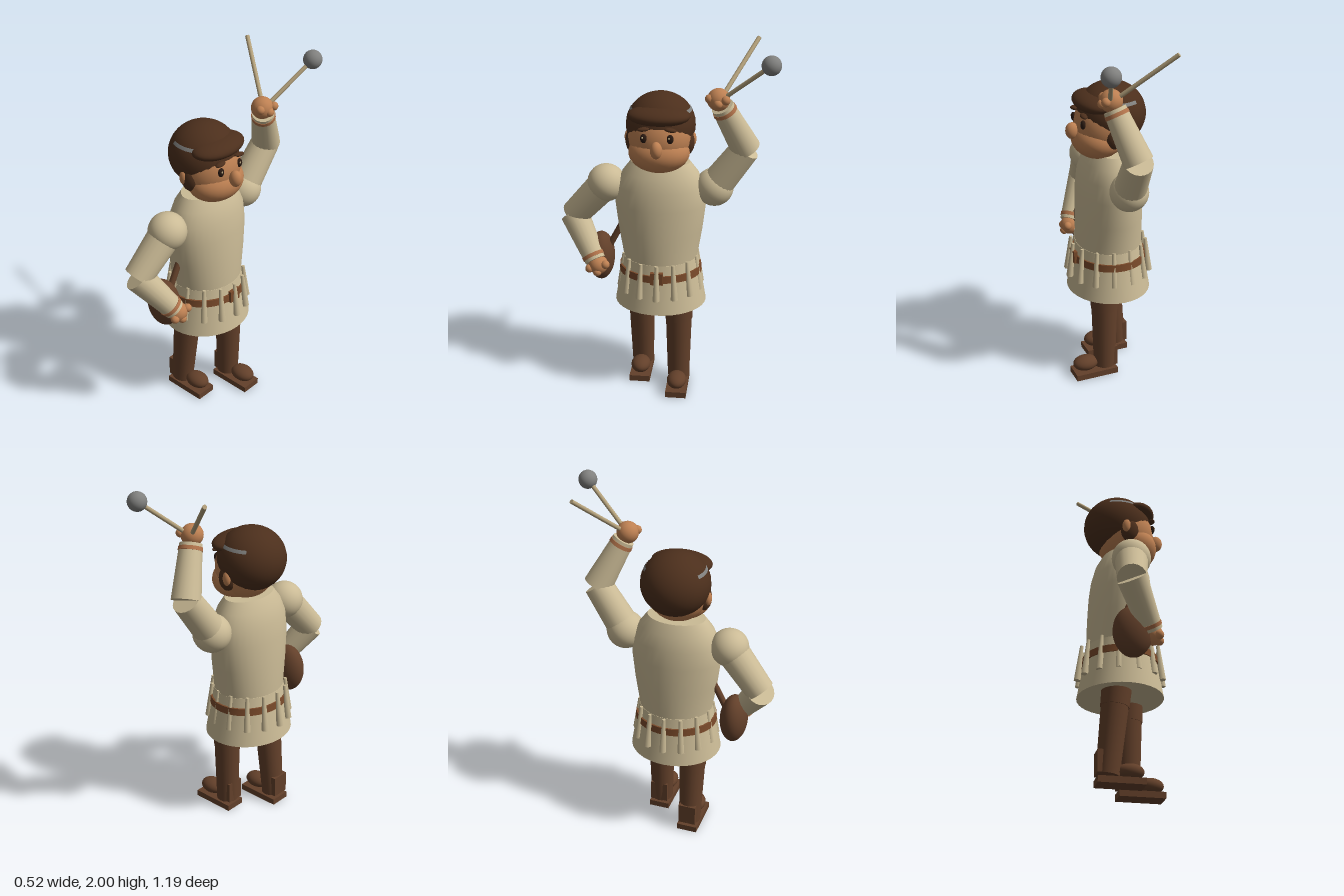
import * as THREE from 'three';

const mat = (name, color) => Object.assign(new THREE.MeshStandardMaterial({ color }), { name });

export function createModel() {
  const cream = mat('cream cloth', 0xcbbb96);
  const hair = mat('dark brown hair', 0x4c2f1c);
  const skin = mat('skin', 0xbd8052);
  const leather = mat('dark leather', 0x63402a);
  const belt = mat('belt leather', 0x7a4a2a);
  const cuff = mat('cuff trim', 0xb0724a);
  const grey = mat('grey', 0x80807e);
  const black = mat('eye black', 0x2a1a12);
  const wood = mat('pale wood', 0xb5a27c);

  const root = new THREE.Group();
  const V = (p) => new THREE.Vector3(...p);
  const CX = -0.017, CZ = 0.03; // body axis

  const add = (name, geo, material, pos = [0, 0, 0]) => {
    const m = new THREE.Mesh(geo, material);
    m.name = name;
    m.position.set(...pos);
    root.add(m);
    return m;
  };
  const ball = (name, material, pos, [rx, ry, rz]) => {
    const m = add(name, new THREE.SphereGeometry(1, 28, 20), material, pos);
    m.scale.set(rx, ry, rz);
    return m;
  };
  const aim = (m, a, b) => m.quaternion.setFromUnitVectors(new THREE.Vector3(0, 1, 0), V(b).sub(V(a)).normalize());
  // tapered rod from a to b
  const rod = (name, material, a, b, ra, rb = ra, sides = 16) => {
    const geo = new THREE.CylinderGeometry(rb, ra, V(a).distanceTo(V(b)), sides);
    const m = add(name, geo, material, V(a).add(V(b)).multiplyScalar(0.5).toArray());
    aim(m, a, b);
    return m;
  };
  // elliptical sections [y, rx, rz], listed from the bottom up; a repeated section gives a sharp edge
  const loft = (sections, n = 36) => {
    const pos = [], idx = [];
    sections.forEach(([y, rx, rz], i) => {
      for (let j = 0; j < n; j++) {
        const a = (j / n) * Math.PI * 2;
        pos.push(rx * Math.cos(a), y, rz * Math.sin(a));
        if (i === sections.length - 1) continue;
        const p = i * n + j, q = i * n + ((j + 1) % n);
        idx.push(p, p + n, q, q, p + n, q + n);
      }
    });
    const g = new THREE.BufferGeometry();
    g.setAttribute('position', new THREE.Float32BufferAttribute(pos, 3));
    g.setIndex(idx);
    g.computeVertexNormals();
    return g;
  };

  // Tunic: body, skirt and belt
  add('tunicBody', loft([
    [0.7, 0.18, 0.2], [0.8, 0.182, 0.208], [0.95, 0.18, 0.232], [1.1, 0.172, 0.25], [1.2, 0.16, 0.242],
    [1.28, 0.138, 0.208], [1.34, 0.105, 0.162], [1.34, 0.105, 0.162], [1.34, 0, 0],
  ]), cream, [CX, 0, CZ]);
  add('tunicSkirt', loft([
    [0.51, 0, 0], [0.51, 0.232, 0.256], [0.51, 0.232, 0.256], [0.79, 0.184, 0.208], [0.79, 0.184, 0.208], [0.79, 0, 0],
  ]), cream, [CX, 0, CZ]);
  add('belt', loft([
    [0.695, 0, 0], [0.695, 0.207, 0.232], [0.695, 0.207, 0.232],
    [0.735, 0.203, 0.228], [0.735, 0.203, 0.228], [0.735, 0, 0],
  ]), belt, [CX, 0, CZ]);
  add('beltBuckle', new THREE.BoxGeometry(0.02, 0.07, 0.07), belt, [CX + 0.207, 0.725, CZ]);

  // Ring of small tapered tubes hanging on the belt
  for (let i = 0; i < 14; i++) {
    const a = (i / 14) * Math.PI * 2, c = Math.cos(a), s = Math.sin(a);
    const at = (r, y) => [CX + r * c, y, CZ + (r - 0.005) * s];
    rod('beltTube', cream, at(0.232, 0.6), at(0.21, 0.8), 0.02, 0.01, 6);
  }

  // Legs and shoes, one foot ahead of the other
  for (const [z, top, x, shift] of [[0.145, -0.055, -0.105, 0], [-0.08, 0.05, 0.05, 0.155]]) {
    rod('leg', leather, [x, 0.05, z], [top, 0.56, z], 0.062, 0.078, 20);
    const k = (y) => x + (top - x) * ((y - 0.05) / 0.51);
    rod('breechesCuff', leather, [k(0.42), 0.42, z], [k(0.54), 0.54, z], 0.077, 0.081, 20);
    add('sole', new THREE.BoxGeometry(0.25, 0.035, 0.117), leather, [-0.04 + shift, 0.018, z]);
    add('heel', new THREE.BoxGeometry(0.075, 0.12, 0.1), leather, [-0.128 + shift, 0.115, z]);
    ball('toe', leather, [0.013 + shift, 0.078, z], [0.073, 0.043, 0.055]);
  }

  // Arms: shoulder, upper arm, forearm, cuff, hand and finger knobs
  const arm = (shoulder, elbow, wrist, hand, r, fingers) => {
    ball('shoulder', cream, shoulder, [0.105, 0.105, 0.105]);
    rod('upperArm', cream, shoulder, elbow, 0.09, 0.078, 20);
    rod('forearm', cream, elbow, wrist, 0.08, 0.06, 20);
    const ring = V(elbow).lerp(V(wrist), 0.87).toArray();
    const band = V(elbow).lerp(V(wrist), 0.94).toArray();
    rod('cuff', cuff, ring, band, 0.066, 0.064, 20);
    ball('hand', skin, hand, [r, r, r]);
    for (const f of fingers) ball('finger', skin, f, [0.024, 0.024, 0.024]);
  };
  arm([CX, 1.2, 0.33], [-0.055, 0.985, 0.52], [0.075, 0.765, 0.385], [0.085, 0.745, 0.37], 0.055,
    [[0.11, 0.73, 0.415], [0.12, 0.715, 0.37], [0.115, 0.76, 0.325]]);
  arm([CX, 1.2, -0.265], [0.005, 1.435, -0.43], [0.085, 1.69, -0.305], [0.095, 1.73, -0.285], 0.06,
    [[0.14, 1.74, -0.325], [0.145, 1.72, -0.285], [0.12, 1.74, -0.24]]);

  // Flask at the hip with its strap
  ball('flask', leather, [-0.02, 0.755, 0.368], [0.105, 0.141, 0.076]);
  rod('flaskStrap', leather, [-0.02, 0.76, 0.35], [-0.02, 0.96, 0.245], 0.018);

  // Raised stick and beater
  rod('stick', wood, [0.095, 1.725, -0.292], [-0.183, 1.992, -0.477], 0.012, 0.012, 10);
  rod('beaterStick', wood, [0.1, 1.72, -0.285], [0.207, 1.95, -0.553], 0.012, 0.012, 10);
  ball('beaterHead', grey, [0.207, 1.95, -0.553], [0.051, 0.051, 0.051]);

  // Head
  ball('head', skin, [0.005, 1.49, CZ], [0.165, 0.175, 0.172]);
  ball('jaw', skin, [0.05, 1.415, CZ], [0.137, 0.11, 0.165]);
  ball('nose', skin, [0.19, 1.472, CZ], [0.036, 0.046, 0.032]);
  const hairPos = [-0.035, 1.545, CZ], hairR = [0.188, 0.176, 0.188];
  ball('hairCap', hair, hairPos, hairR);
  ball('fringe', hair, [0.065, 1.622, CZ], [0.108, 0.052, 0.168]);
  for (const s of [-1, 1]) {
    ball('sideburn', hair, [0.005, 1.46, CZ + s * 0.148], [0.052, 0.068, 0.038]);
    ball('ear', skin, [-0.015, 1.472, CZ + s * 0.174], [0.024, 0.04, 0.02]);
    ball('eye', black, [0.153, 1.523, CZ + s * 0.07], [0.014, 0.025, 0.018]);
    ball('eyeGlint', wood, [0.165, 1.53, CZ + s * 0.07 + 0.005], [0.004, 0.006, 0.005]);
    const brow = ball('eyebrow', hair, [0.15, 1.572, CZ + s * 0.072], [0.018, 0.011, 0.032]);
    brow.rotation.x = s * 0.12;
    // grey streak lying on the hair at the temple
    const streak = add('greyStreak',
      new THREE.SphereGeometry(1.008, 10, 3, s * Math.PI / 2 - 0.45, 1.0, 0.98, 0.11), grey, hairPos);
    streak.scale.set(...hairR);
  }
  return root;
}
